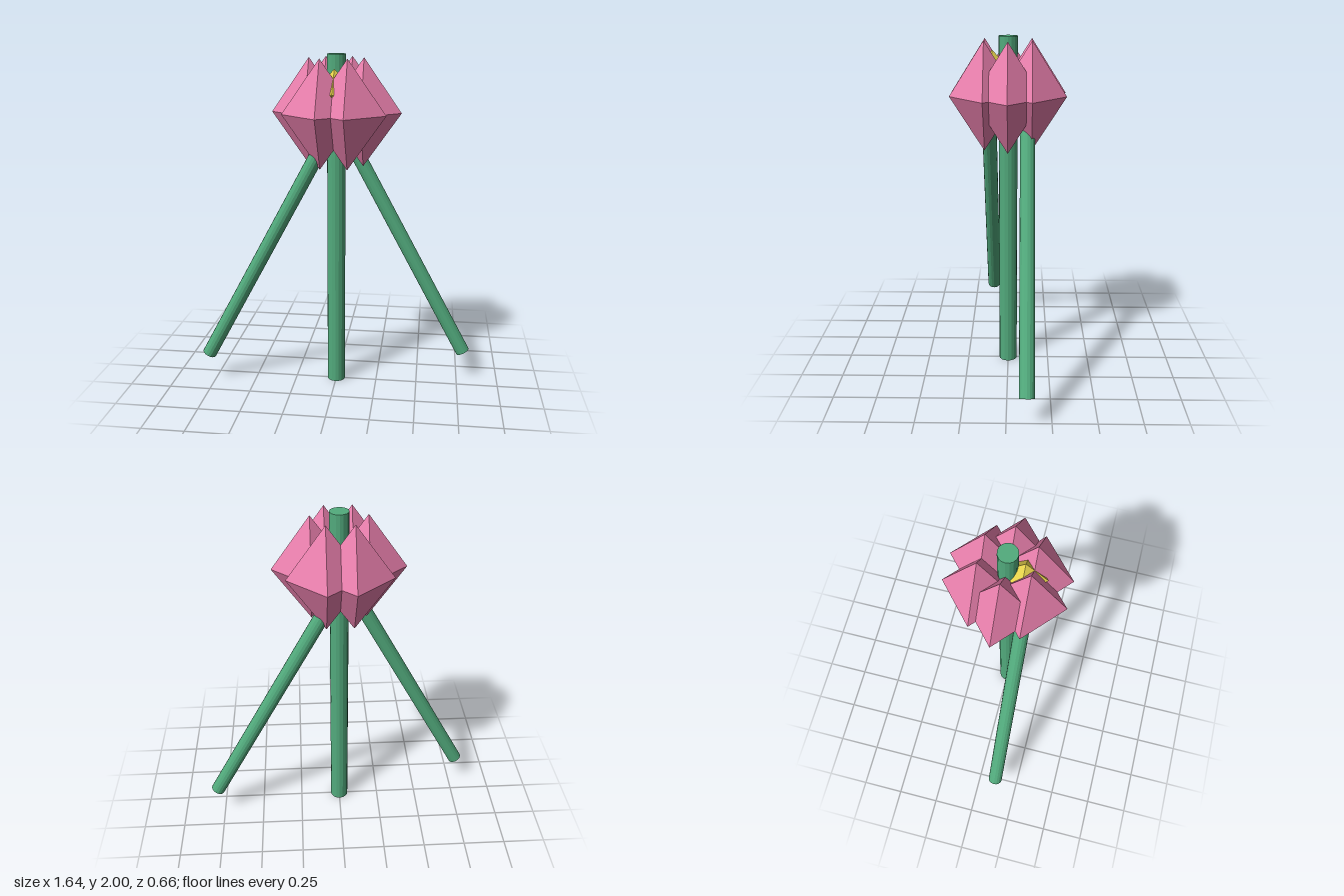
import * as THREE from 'three';

const mat = (color) => new THREE.MeshStandardMaterial({ color, flatShading: true });

export function createModel() {
  const group = new THREE.Group();
  const green = mat(0x52ab7d);
  const pink = mat(0xe87fac);
  const yellow = mat(0xe8d44d);

  // Stretched octahedron: half sizes and centre
  const gem = (name, material, size, centre) => {
    const mesh = new THREE.Mesh(new THREE.OctahedronGeometry(1).scale(...size), material);
    mesh.name = name;
    mesh.position.set(...centre);
    group.add(mesh);
  };

  // Round rod between two points
  const rod = (name, radius, from, to) => {
    const a = new THREE.Vector3(...from);
    const b = new THREE.Vector3(...to);
    const dir = b.clone().sub(a);
    const mesh = new THREE.Mesh(new THREE.CylinderGeometry(radius, radius, dir.length(), 16), green);
    mesh.name = name;
    mesh.position.copy(a).add(b).multiplyScalar(0.5);
    mesh.quaternion.setFromUnitVectors(new THREE.Vector3(0, 1, 0), dir.normalize());
    group.add(mesh);
  };

  // Upright stem and two leaning side stalks, one behind and one in front
  rod('stem', 0.054, [0, 0, 0], [0, 2, 0]);
  rod('leftStalk', 0.043, [0.783, 0.173, -0.112], [0.01, 1.6, -0.112]);
  rod('rightStalk', 0.043, [-0.783, 0.173, 0.112], [-0.01, 1.6, 0.112]);

  // Six petals: two in front, two behind, one on each side
  const petalSize = [0.218, 0.31, 0.197];
  for (const s of [1, -1]) {
    const side = s > 0 ? 'left' : 'right';
    gem(side + 'FrontPetal', pink, petalSize, [s * 0.078, 1.67, 0.135]);
    gem(side + 'BackPetal', pink, petalSize, [s * 0.078, 1.67, -0.135]);
    gem(side + 'SidePetal', pink, petalSize, [s * 0.157, 1.67, 0]);
  }

  // Yellow heart peeking out between the front petals
  gem('flowerHeart', yellow, [0.12, 0.135, 0.12], [0, 1.787, 0.09]);

  return group;
}
